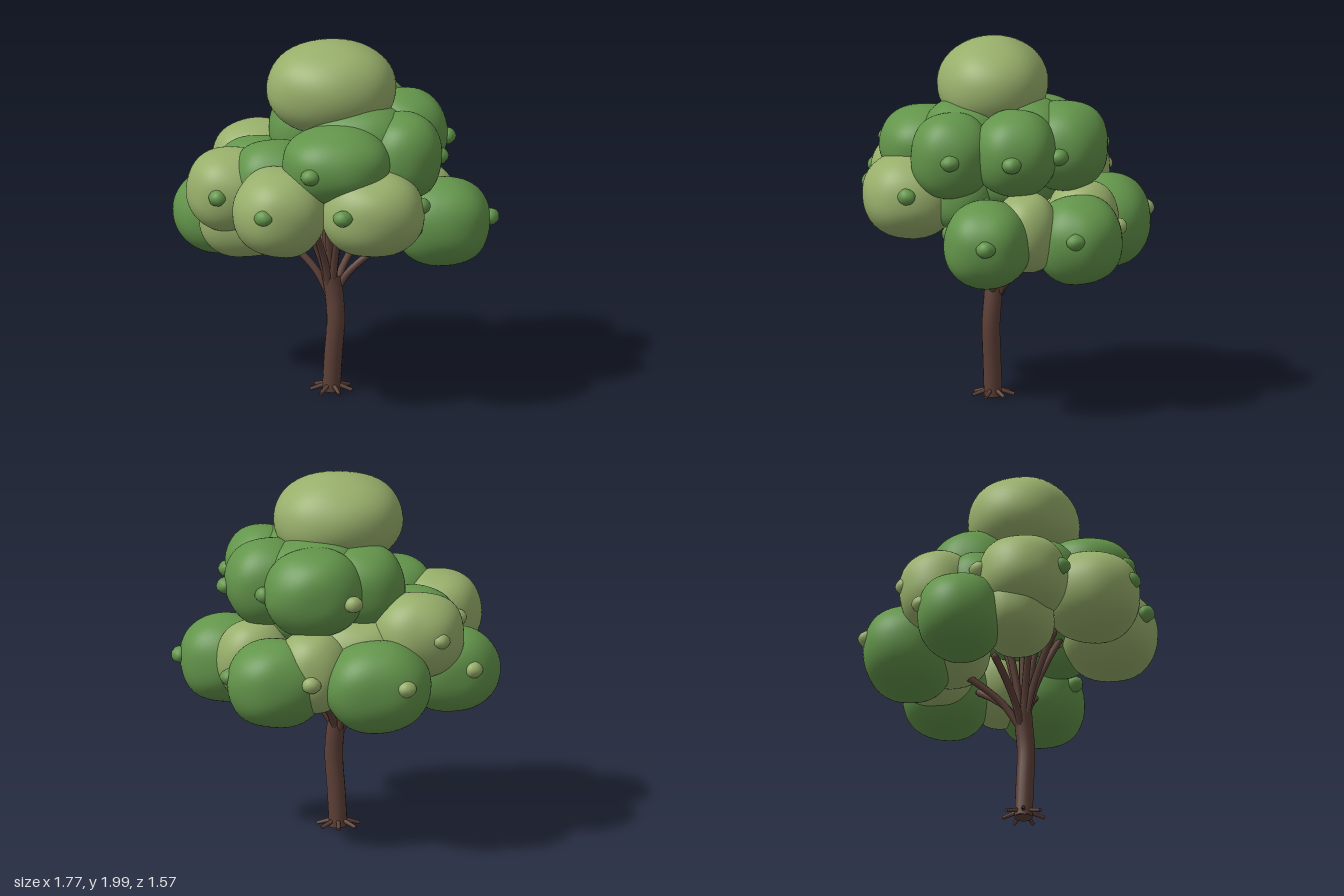
import * as THREE from 'three';
import { mergeVertices } from 'three/addons/utils/BufferGeometryUtils.js';

const mat = (name, color) => {
  const m = new THREE.MeshStandardMaterial({ color });
  m.name = name;
  return m;
};

// Smooth, slightly boxy and lumpy ball; the seed shifts the lumps
function lumpyBall(detail, seed, lump, power) {
  let g = new THREE.IcosahedronGeometry(1, detail);
  g.deleteAttribute('uv');
  g.deleteAttribute('normal');
  g = mergeVertices(g, 1e-4);
  const p = g.attributes.position, v = new THREE.Vector3();
  for (let i = 0; i < p.count; i++) {
    v.fromBufferAttribute(p, i).normalize();
    const box = Math.pow(
      Math.abs(v.x) ** power + Math.abs(v.y) ** power + Math.abs(v.z) ** power, -1 / power);
    const wave = Math.sin(4.6 * v.x + seed * 1.7) * Math.sin(5.2 * v.z + seed * 2.3)
      + 0.6 * Math.sin(5.1 * v.y + 3.9 * v.x + seed);
    v.multiplyScalar(box * (1 + lump * wave));
    p.setXYZ(i, v.x, v.y, v.z);
  }
  g.computeVertexNormals();
  return g;
}

function limb(points, radius, sides) {
  const curve = new THREE.CatmullRomCurve3(points.map((q) => new THREE.Vector3(...q)));
  return new THREE.TubeGeometry(curve, 12, radius, sides);
}

export function createModel() {
  const tree = new THREE.Group();
  tree.name = 'tree';
  const bark = mat('bark brown', 0x5d4037);
  const dark = mat('leaf green', 0x63954b);
  const light = mat('pale leaf green', 0x98af6b);

  const add = (name, geometry, material) => {
    const m = new THREE.Mesh(geometry, material);
    m.name = name;
    tree.add(m);
    return m;
  };

  // Trunk with a gentle bend, closed at the foot
  add('trunk', limb([[-0.03, 0.01, 0.075], [-0.02, 0.2, 0.08], [-0.006, 0.42, 0.085],
    [-0.015, 0.56, 0.075], [-0.03, 0.66, 0.07]], 0.05, 16), bark);
  const foot = add('trunkFoot', new THREE.CircleGeometry(0.05, 16), bark);
  foot.rotation.x = Math.PI / 2;
  foot.position.set(-0.03, 0.01, 0.075);

  // Short roots around the foot
  for (let i = 0; i < 7; i++) {
    const a = (i / 7) * Math.PI * 2 + 0.3;
    const root = add('root', new THREE.CylinderGeometry(0.01, 0.013, 0.1, 7), bark);
    root.position.set(-0.03 + Math.cos(a) * 0.07, 0.035, 0.075 + Math.sin(a) * 0.07);
    root.rotation.set(0, -a, -Math.PI / 2 - 0.3, 'YXZ');
  }

  // Branches fanning out into the crown
  const tips = [
    [0.27, 0.86, 0.09], [0.17, 0.87, -0.2], [-0.11, 0.88, -0.28], [-0.3, 0.86, -0.04],
    [-0.2, 1.03, 0.14], [-0.15, 1.05, 0.26], [0.03, 1.08, 0.26], [0.05, 1.15, 0.14],
    [0.02, 1.15, -0.06], [-0.1, 1.15, -0.03], [-0.03, 1.3, 0.07], [-0.06, 1.15, 0.18],
  ];
  tips.forEach(([x, y, z]) => {
    const dx = x + 0.03, dz = z - 0.07;
    add('branch', limb([[-0.03 + dx * 0.06, 0.56, 0.07 + dz * 0.06],
      [-0.03 + dx * 0.3, 0.56 + (y - 0.56) * 0.4, 0.07 + dz * 0.3],
      [-0.03 + dx * 0.7, 0.56 + (y - 0.56) * 0.78, 0.07 + dz * 0.7], [x, y, z]], 0.02, 8), bark);
    add('branchTip', new THREE.SphereGeometry(0.02, 8, 6), bark).position.set(x, y, z);
  });

  // Leaf clumps: colour, centre, radii
  const clumps = [
    // crown top
    [light, -0.03, 1.745, 0.075, 0.355, 0.255, 0.3],
    // upper ring
    [dark, 0.0, 1.42, 0.43, 0.295, 0.205, 0.26],
    [dark, 0.36, 1.42, 0.28, 0.21, 0.235, 0.22],
    [dark, 0.37, 1.44, -0.07, 0.23, 0.235, 0.225],
    [dark, 0.14, 1.44, -0.32, 0.27, 0.24, 0.24],
    [dark, -0.13, 1.43, -0.18, 0.24, 0.23, 0.24],
    [dark, -0.34, 1.26, 0.23, 0.23, 0.225, 0.21],
    [dark, -0.43, 1.18, -0.1, 0.23, 0.22, 0.19],
    [dark, 0.12, 1.46, 0.23, 0.3, 0.235, 0.23],
    [dark, 0.12, 1.46, -0.13, 0.3, 0.235, 0.23],
    // middle ring
    [light, -0.31, 1.17, 0.5, 0.255, 0.24, 0.26],
    [light, 0.195, 1.17, 0.51, 0.28, 0.235, 0.26],
    [light, -0.57, 1.19, 0.16, 0.245, 0.225, 0.24],
    [light, -0.43, 1.19, -0.32, 0.25, 0.23, 0.22],
    [light, -0.49, 1.0, 0.11, 0.26, 0.205, 0.2],
    [light, 0.16, 1.02, -0.42, 0.2, 0.23, 0.2],
    [light, 0.45, 1.02, -0.13, 0.2, 0.22, 0.17],
    [light, -0.12, 1.05, -0.3, 0.3, 0.24, 0.2],
    [dark, 0.05, 1.25, 0.05, 0.34, 0.2, 0.34],
    [dark, 0.28, 1.17, 0.22, 0.18, 0.18, 0.17],
    // lower ring
    [dark, 0.57, 0.975, 0.075, 0.265, 0.24, 0.235],
    [dark, 0.35, 0.96, -0.41, 0.27, 0.24, 0.24],
    [dark, -0.19, 0.96, -0.53, 0.29, 0.25, 0.245],
    [dark, -0.62, 0.955, -0.18, 0.265, 0.23, 0.23],
  ];
  clumps.forEach(([material, x, y, z, rx, ry, rz], i) => {
    const top = i === 0;
    const clump = add(top ? 'crownTop' : 'leafClump',
      lumpyBall(9, i + 1, top ? 0.012 : 0.015, top ? 2.1 : 2.25), material);
    clump.position.set(x, y, z);
    clump.scale.set(rx, ry, rz);
  });

  // Small buds on the outer faces: colour, position
  const buds = [
    [dark, 0.03, 1.21, 0.74], [dark, -0.4, 1.21, 0.73], [dark, 0.46, 1.21, 0.52],
    [dark, -0.65, 1.21, 0.38], [dark, -0.145, 1.42, 0.66], [dark, 0.56, 1.42, 0.28],
    [dark, 0.6, 1.42, -0.06], [dark, 0.41, 1.43, -0.31], [dark, 0.835, 1.0, 0.07],
    [dark, 0.42, 1.0, 0.28], [dark, 0.61, 1.0, -0.41], [light, -0.33, 1.0, -0.74],
    [light, -0.73, 1.0, -0.38], [light, -0.54, 1.2, -0.5], [light, -0.06, 1.42, -0.51],
    [light, 0.18, 1.0, -0.62], [light, -0.67, 1.21, -0.07],
  ];
  buds.forEach(([material, x, y, z], i) => {
    const bud = add('bud', lumpyBall(2, i, 0.04, 1.8), material);
    bud.position.set(x, y, z);
    bud.scale.set(0.048, 0.047, 0.055);
    bud.rotation.y = -Math.atan2(z - 0.07, x + 0.03);
  });

  return tree;
}
